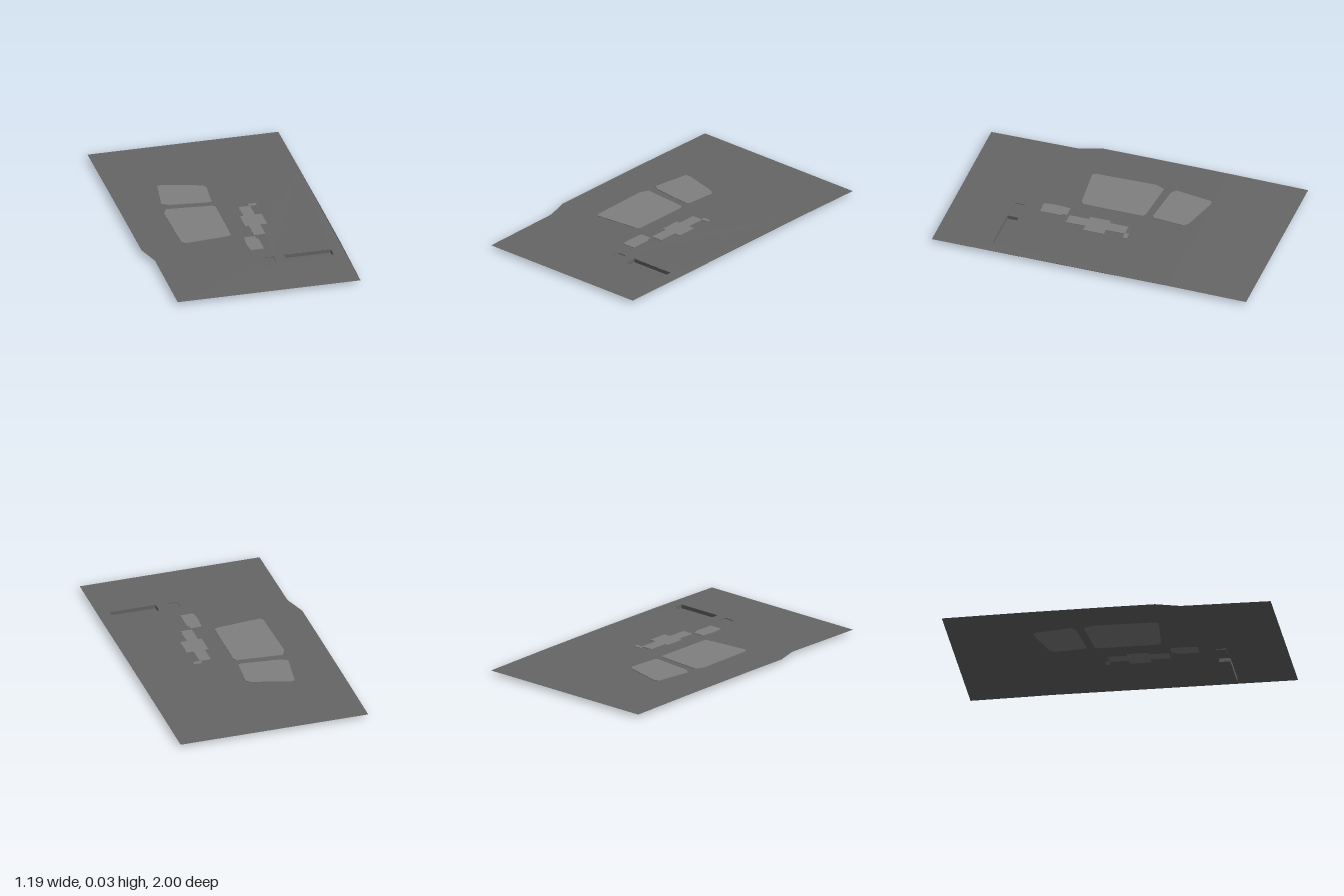
import * as THREE from 'three';

const groundMat = new THREE.MeshStandardMaterial({ color: 0x666666, side: THREE.DoubleSide, flatShading: true });
const plateMat = new THREE.MeshStandardMaterial({ color: 0x808080, side: THREE.DoubleSide, flatShading: true });

// Gentle rise of the ground along its length
const groundY = (z) => 0.026 - 0.007 * z * z;

// [x, z] corners to a shape that is laid flat afterwards
const toShape = (pts) => new THREE.Shape(pts.map(([x, z]) => new THREE.Vector2(x, -z)));

// Lay a geometry flat and let it follow the ground
function drape(geo) {
  geo.rotateX(-Math.PI / 2);
  const p = geo.attributes.position;
  for (let i = 0; i < p.count; i++) p.setY(i, p.getY(i) + groundY(p.getZ(i)));
  geo.computeVertexNormals();
  return geo;
}

function rect(x0, x1, z0, z1) {
  return [[x0, z0], [x1, z0], [x1, z1], [x0, z1]];
}

export function createModel() {
  const model = new THREE.Group();
  const add = (name, geo, mat) => {
    const mesh = new THREE.Mesh(geo, mat);
    mesh.name = name;
    model.add(mesh);
    return mesh;
  };

  const plates = {
    backPlate: [[-0.295, -0.485], [-0.265, -0.49], [-0.035, -0.425], [-0.01, -0.4],
      [-0.025, -0.21], [-0.04, -0.197], [-0.295, -0.225], [-0.33, -0.25]],
    largePlate: [[-0.32, -0.175], [-0.035, -0.15], [-0.02, -0.13], [-0.022, 0.24],
      [-0.04, 0.257], [-0.32, 0.283], [-0.337, 0.265], [-0.345, -0.12]],
    crossPlate: [[0.11, -0.092], [0.176, -0.092], [0.176, -0.118], [0.225, -0.118], [0.225, -0.092],
      [0.183, -0.09], [0.183, 0.028], [0.225, 0.028], [0.225, 0.16], [0.183, 0.16],
      [0.183, 0.283], [0.11, 0.283], [0.11, 0.16], [0.087, 0.16], [0.087, 0.028], [0.11, 0.028]],
    smallPlate: [[0.042, 0.3], [0.114, 0.3], [0.114, 0.33], [0.126, 0.33], [0.126, 0.466],
      [0.042, 0.468], [0.035, 0.4]],
  };
  // Recesses: x0, x1, z0, z1, floor height
  const pits = {
    longPit: [0.225, 0.515, 0.57, 0.64, 0],
    shallowPit: [0.09, 0.155, 0.575, 0.635, 0.019],
  };

  // Ground sheet, open under the plates and over the pits
  const outline = toShape([[-0.595, -1], [0.595, -1], [0.595, -0.5], [0.595, 0], [0.595, 0.5], [0.59, 1],
    [-0.55, 1], [-0.55, 0.45], [-0.595, 0.3], [-0.595, 0], [-0.595, -0.5]]);
  for (const pts of Object.values(plates)) outline.holes.push(toShape(pts));
  for (const [x0, x1, z0, z1] of Object.values(pits)) outline.holes.push(toShape(rect(x0, x1, z0, z1)));
  add('ground', drape(new THREE.ShapeGeometry(outline)), groundMat);

  // Slightly raised paved plates
  for (const [name, pts] of Object.entries(plates)) {
    const geo = new THREE.ExtrudeGeometry(toShape(pts), { depth: 0.003, bevelEnabled: false });
    add(name, drape(geo), plateMat);
  }

  // Open-topped pits sunk below the ground
  for (const [name, [x0, x1, z0, z1, floor]] of Object.entries(pits)) {
    const top = groundY((z0 + z1) / 2);
    const geo = new THREE.BoxGeometry(x1 - x0, top - floor, z1 - z0);
    const index = Array.from(geo.index.array);
    index.splice(12, 6); // remove the top face
    geo.setIndex(index);
    geo.clearGroups();
    add(name, geo, groundMat).position.set((x0 + x1) / 2, (top + floor) / 2, (z0 + z1) / 2);
  }

  return model;
}
